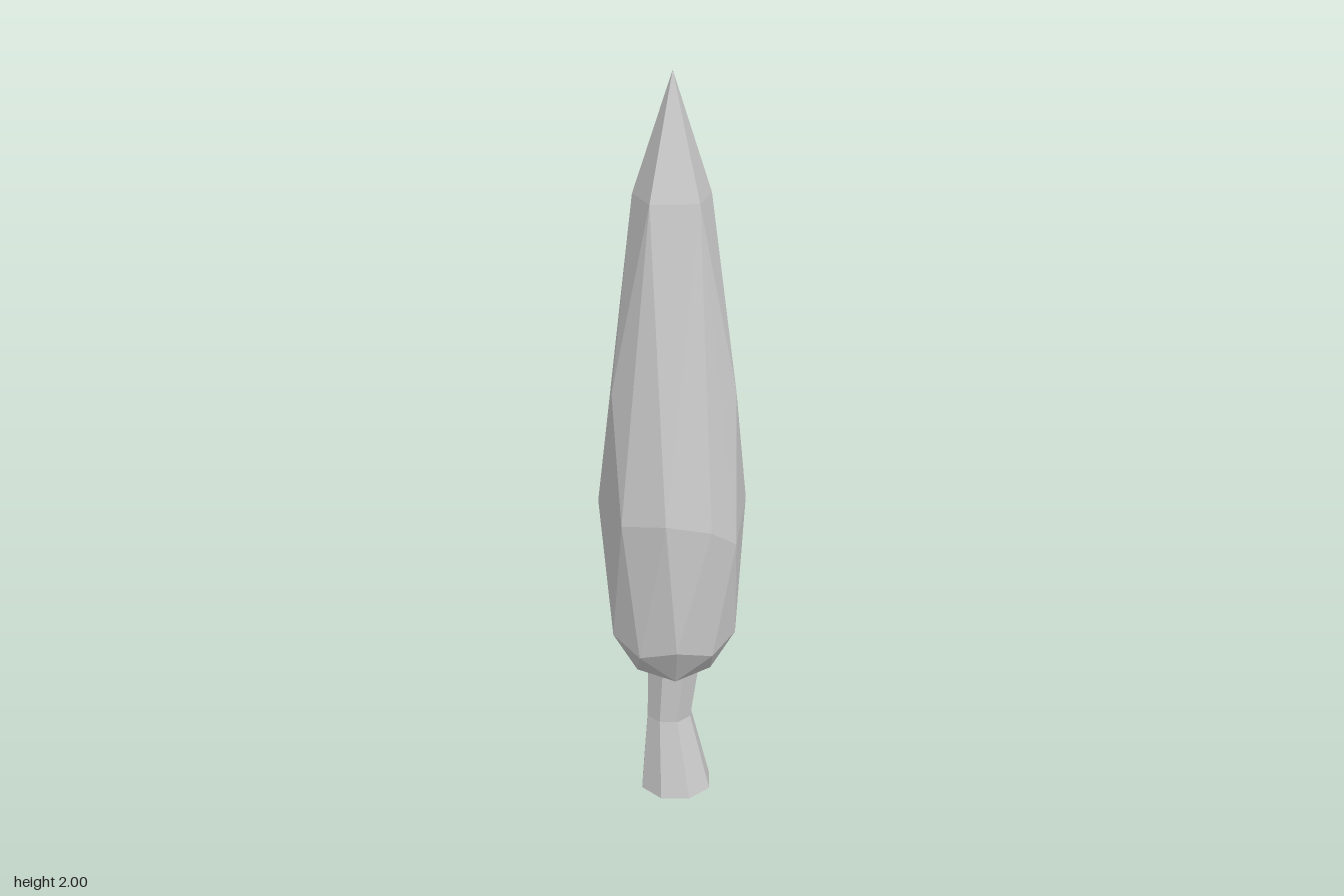
import * as THREE from 'three';
import { ConvexGeometry } from 'three/addons/geometries/ConvexGeometry.js';

const AXIS_X = -0.01; // the crown leans a touch off centre

// A ring of points around the crown axis, at the given angles in degrees
function ring(angles, radius, y) {
  return angles.map((deg) => {
    const a = THREE.MathUtils.degToRad(deg);
    return new THREE.Vector3(AXIS_X + radius * Math.cos(a), y, radius * Math.sin(a));
  });
}

// The same point on the front and the back
const pair = (x, y, z) => [new THREE.Vector3(x, y, z), new THREE.Vector3(x, y, -z)];

export function createModel() {
  const group = new THREE.Group();
  group.name = 'cypressTree';
  const material = new THREE.MeshStandardMaterial({
    color: 0xcccccc, flatShading: true, side: THREE.DoubleSide,
  });

  // Faceted foliage: tip, shoulder, widest belt, and tapered underside
  const even = [0, 72, 144, 216, 288];
  const odd = [36, 108, 180, 252, 324];
  const foliagePoints = [
    new THREE.Vector3(AXIS_X, 2, 0),
    ...ring(even, 0.105, 1.69),
    ...ring([36, 180, 324], 0.168, 1.19),
    new THREE.Vector3(0.187, 0.86, 0.03),
    new THREE.Vector3(0.178, 0.8, -0.062),
    ...pair(0.105, 0.79, 0.16),
    ...pair(0.02, 0.85, 0.196),
    ...pair(-0.1, 0.88, 0.18),
    ...pair(-0.188, 0.86, 0.091),
    ...ring(odd, 0.173, 0.5),
    ...ring(even, 0.165, 0.47),
    ...ring(odd, 0.105, 0.38),
  ];
  const foliage = new THREE.Mesh(new ConvexGeometry(foliagePoints), material);
  foliage.name = 'foliage';
  group.add(foliage);

  // Eight-sided trunk, open at both ends, pinched and bent at the middle
  const levels = [
    { y: 0.39, r: 0.075, x: -0.008, z: 0 },
    { y: 0.225, r: 0.064, x: -0.02, z: -0.006 },
    { y: 0, r: 0.102, x: -0.002, z: 0 },
  ];
  const trunkGeometry = new THREE.CylinderGeometry(1, 1, 2, 8, 2, true);
  const position = trunkGeometry.attributes.position;
  for (let i = 0; i < position.count; i++) {
    const level = levels[Math.round(1 - position.getY(i))];
    position.setXYZ(
      i,
      level.x + position.getX(i) * level.r,
      level.y,
      level.z + position.getZ(i) * level.r,
    );
  }
  trunkGeometry.computeVertexNormals();
  const trunk = new THREE.Mesh(trunkGeometry, material);
  trunk.name = 'trunk';
  group.add(trunk);

  return group;
}
